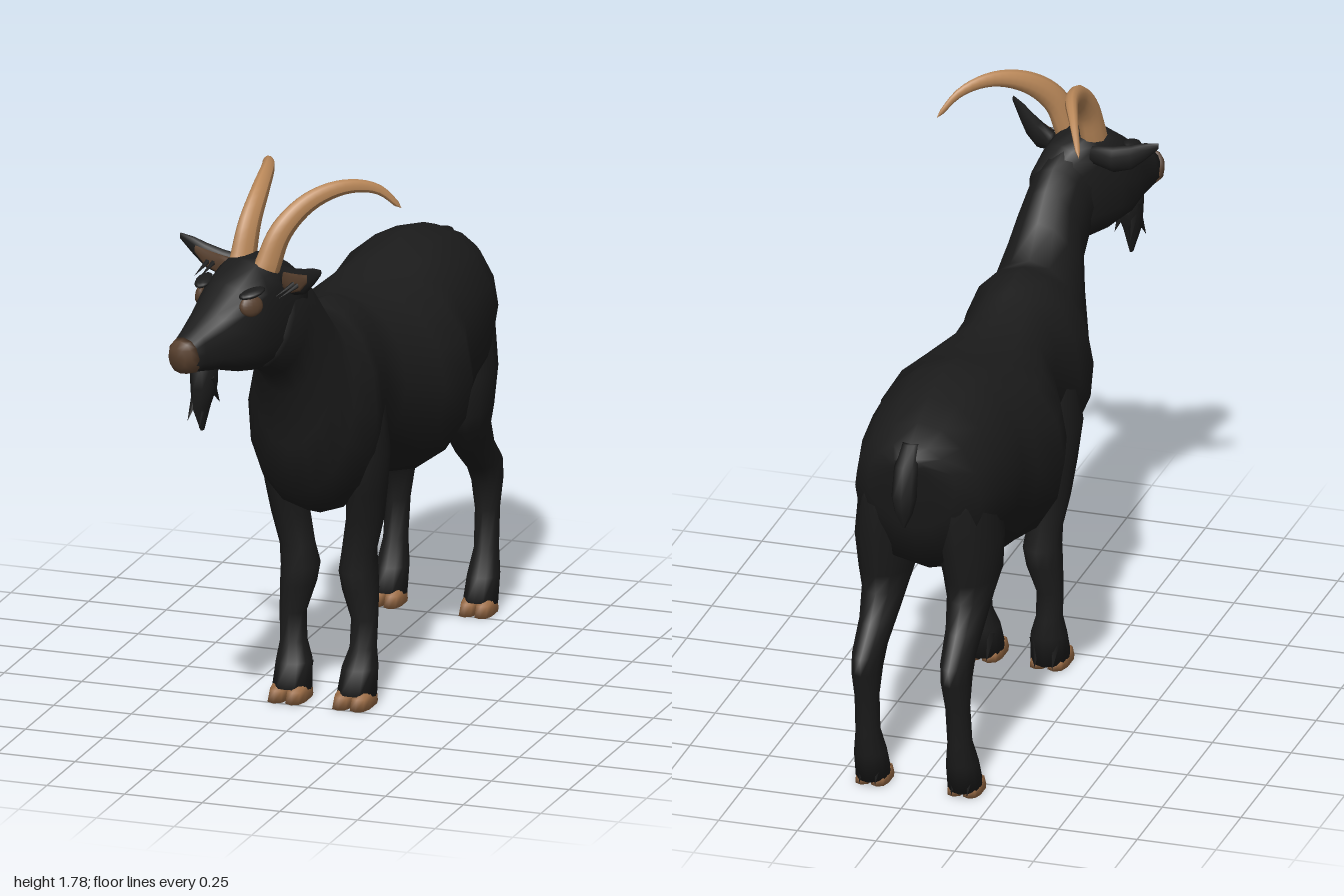
import * as THREE from 'three';

const mat = (name, color) => Object.assign(new THREE.MeshStandardMaterial({ color }), { name });
const coat = mat('black coat', 0x1c1c1c);
const hornTan = mat('horn tan', 0xbb895a);
const hoofTan = mat('hoof tan', 0x9c6d46);
const brown = mat('dark brown', 0x573f2d);

function add(parent, name, geometry, material) {
  const mesh = new THREE.Mesh(geometry, material);
  mesh.name = name;
  parent.add(mesh);
  return mesh;
}

// Skin over oval sections [zA, yA, zB, yB, xCentre, halfWidth]; A and B are opposite ends of each oval.
function loft(sections, sides = 14, power = 1) {
  const pos = [], index = [];
  const bend = v => Math.sign(v) * Math.abs(v) ** power;
  for (const [za, ya, zb, yb, x, w] of sections) {
    for (let j = 0; j < sides; j++) {
      const t = (j / sides) * Math.PI * 2, c = bend(Math.cos(t)) / 2;
      pos.push(x + w * bend(Math.sin(t)), (ya + yb) / 2 + c * (ya - yb), (za + zb) / 2 + c * (za - zb));
    }
  }
  const last = sections.length - 1, n = sections.length * sides;
  for (const s of [sections[0], sections[last]]) pos.push(s[4], (s[1] + s[3]) / 2, (s[0] + s[2]) / 2);
  for (let j = 0; j < sides; j++) {
    const k = (j + 1) % sides;
    for (let i = 0; i < last; i++) {
      const a = i * sides, b = a + sides;
      index.push(a + j, b + j, a + k, a + k, b + j, b + k);
    }
    index.push(n, j, k, n + 1, last * sides + k, last * sides + j);
  }
  const g = new THREE.BufferGeometry();
  g.setAttribute('position', new THREE.Float32BufferAttribute(pos, 3));
  g.setIndex(index);
  g.computeVertexNormals();
  return g;
}

// Pointed tuft of hair from a to b
function tuft(parent, name, a, b, r) {
  const from = new THREE.Vector3(...a), to = new THREE.Vector3(...b), dir = to.clone().sub(from);
  const mesh = add(parent, name, new THREE.ConeGeometry(r, dir.length(), 5), coat);
  mesh.position.copy(from).lerp(to, 0.5);
  mesh.quaternion.setFromUnitVectors(new THREE.Vector3(0, 1, 0), dir.normalize());
}

// Curved horn, narrow sideways and thinning towards its tip
function horn(parent, path) {
  const curve = new THREE.CatmullRomCurve3(path.map(p => new THREE.Vector3(...p)));
  const rings = 24, sides = 10;
  const g = new THREE.TubeGeometry(curve, rings, 0.05, sides);
  const p = g.attributes.position, v = new THREE.Vector3();
  for (let i = 0; i < p.count; i++) {
    const u = Math.floor(i / (sides + 1)) / rings, c = curve.getPointAt(u);
    v.fromBufferAttribute(p, i).sub(c).multiplyScalar(u === 1 ? 0 : 1 - 0.85 * u ** 1.1);
    v.x *= 0.7;
    v.add(c);
    p.setXYZ(i, v.x, v.y, v.z);
  }
  g.computeVertexNormals();
  add(parent, 'horn', g, hornTan);
}
const leftHorn = [[.055, 1.53, .05], [.075, 1.64, .005], [.11, 1.72, -.085], [.16, 1.752, -.19], [.205, 1.73, -.29], [.24, 1.66, -.36]];
const rightHorn = [[-.042, 1.53, .05], [-.05, 1.64, .008], [-.076, 1.72, -.07], [-.136, 1.755, -.175], [-.213, 1.735, -.26], [-.282, 1.66, -.322]];

function ear(parent, s) {
  const g = new THREE.Group();
  g.name = 'ear';
  g.position.set(s * 0.075, 0, 0);
  g.rotation.y = s * 1.28;
  parent.add(g);
  const shape = [[0, 1.53, 1.475, .022], [.07, 1.54, 1.455, .024], [.13, 1.555, 1.475, .018], [.17, 1.568, 1.51, .012], [.215, 1.575, 1.555, .004]];
  add(g, 'earShell', loft(shape.map(([z, t, b, w]) => [z, t, z, b, 0, w]), 10), coat);
  const inner = [[.04, 1.525, 1.472], [.08, 1.53, 1.468], [.125, 1.538, 1.485], [.16, 1.545, 1.52]];
  add(g, 'innerEar', loft(inner.map(([z, t, b], i) => [z, t, z, b, -s * (.021 - i * .003), .006]), 8), brown);
  for (const z of [.095, .115])
    tuft(g, 'earHair', [-s * .01, 1.505, z], [-s * .095, 1.475, z + .012], .009);
}

function buildHead() {
  const head = new THREE.Group();
  head.name = 'head';
  head.position.set(-0.03, 0, 0.62);
  head.rotation.y = -0.37;
  add(head, 'skull', loft([
    [-.13, 1.47, -.1, 1.28, .01, .065], [-.06, 1.53, -.04, 1.22, 0, .09], [.02, 1.565, .02, 1.21, 0, .104],
    [.1, 1.56, .1, 1.21, 0, .115], [.18, 1.5, .18, 1.225, 0, .11], [.26, 1.435, .26, 1.25, 0, .081],
    [.33, 1.392, .33, 1.26, 0, .057], [.37, 1.368, .365, 1.266, 0, .047]], 16, 0.75), coat);
  add(head, 'nose', loft([[.368, 1.374, .342, 1.258, 0, .051], [.385, 1.366, .382, 1.263, 0, .047], [.402, 1.345, .398, 1.285, 0, .034]], 12, 0.8), brown);
  // Beard
  add(head, 'beard', loft([
    [.33, 1.29, .22, 1.27, 0, .035], [.325, 1.2, .225, 1.2, 0, .034], [.325, 1.14, .25, 1.14, 0, .022], [.29, 1.06, .275, 1.06, 0, .004]], 8), coat);
  for (const [x, z, y] of [[.01, .31, 1.07], [-.02, .25, 1.11], [.02, .225, 1.14], [-.01, .34, 1.1]])
    tuft(head, 'beardTuft', [x * .7, 1.23, .275], [x, y, z], .025);
  horn(head, leftHorn);
  horn(head, rightHorn);
  for (const s of [1, -1]) {
    ear(head, s);
    const eye = add(head, 'eye', new THREE.SphereGeometry(1, 14, 10), brown);
    eye.scale.set(.016, .033, .039);
    eye.position.set(s * .1, 1.448, .172);
    eye.rotation.set(0, -s * .4, s * .2);
    const brow = add(head, 'brow', new THREE.SphereGeometry(1, 12, 8), coat);
    brow.scale.set(.026, .012, .045);
    brow.position.set(s * .097, 1.487, .165);
    brow.rotation.set(.25, -s * .35, 0);
  }
  return head;
}

// Leg rows: [y, zFront, zBack, x, halfWidth, drop of the back edge]
const frontRows = [
  [1.08, .24, .08, .09, .05], [.95, .26, .05, .12, .062], [.8, .27, .05, .135, .066], [.68, .235, .055, .13, .06],
  [.58, .2, .065, .12, .058], [.48, .18, .075, .1, .055], [.41, .185, .05, .093, .06], [.35, .18, .055, .1, .056],
  [.26, .165, .083, .115, .042], [.17, .17, .085, .112, .042], [.11, .2, .08, .106, .056], [.04, .236, .09, .104, .06, .025]];
const hindRows = [
  [1.1, -.66, -.88, .1, .075], [.95, -.58, -.885, .12, .088], [.8, -.56, -.865, .13, .098], [.68, -.57, -.835, .135, .085],
  [.62, -.62, -.83, .135, .07], [.54, -.68, -.885, .137, .056], [.46, -.775, -.968, .14, .048], [.4, -.825, -.96, .142, .046],
  [.31, -.845, -.93, .144, .038], [.19, -.83, -.915, .146, .038], [.11, -.79, -.905, .146, .05], [.04, -.758, -.88, .146, .053, .025]];

function leg(parent, name, rows, s) {
  const g = new THREE.Group();
  g.name = name;
  parent.add(g);
  add(g, 'limb', loft(rows.map(([y, a, b, x, w, drop = 0]) => [a, y, b, y - drop, s * x, w]), 12), coat);
  // Cloven hoof: two toes
  const [, a, b, x, w] = rows[rows.length - 1];
  for (const t of [-1, 1]) {
    const tx = s * x + t * w * .47;
    add(g, 'hoof', loft([[a - .02, .048, b + .025, .035, tx, w * .42], [a + .004, .034, b + .015, .02, tx, w * .5],
      [a + .02, 0, b + .012, 0, tx, w * .54]], 10, .75), hoofTan);
    tuft(g, 'fetlockTuft', [tx, .1, b + .025], [tx, .01, b], .022);
  }
}

export function createModel() {
  const goat = new THREE.Group();
  goat.name = 'goat';
  // Trunk and neck
  add(goat, 'body', loft([
    [-.945, 1.14, -.925, 1.05, 0, .06], [-.91, 1.175, -.885, .88, 0, .14], [-.83, 1.21, -.83, .74, 0, .2],
    [-.72, 1.25, -.72, .68, 0, .23], [-.55, 1.275, -.57, .655, 0, .25], [-.42, 1.252, -.45, .58, 0, .258],
    [-.32, 1.23, -.32, .575, 0, .303], [-.18, 1.215, -.18, .62, 0, .265], [-.04, 1.22, -.04, .705, 0, .19],
    [.06, 1.26, .06, .7, 0, .168], [.16, 1.28, .2, .605, 0, .195], [.22, 1.275, .32, .65, 0, .207],
    [.28, 1.27, .43, .73, 0, .165], [.36, 1.36, .49, .9, 0, .13], [.43, 1.435, .53, 1.08, -.002, .106],
    [.49, 1.485, .62, 1.17, -.008, .1], [.56, 1.525, .7, 1.21, -.025, .1], [.62, 1.55, .74, 1.23, -.045, .09]], 16), coat);
  // Tail
  add(goat, 'tail', loft([
    [-.88, 1.17, -.93, 1.175, 0, .025], [-.92, 1.1, -.98, 1.12, 0, .038], [-.94, 1.02, -1, 1.02, 0, .04],
    [-.955, .97, -.993, .97, 0, .028], [-.965, .92, -.975, .92, 0, .004]], 8), coat);
  for (const s of [1, -1]) {
    leg(goat, 'frontLeg', frontRows, s);
    leg(goat, 'hindLeg', hindRows, s);
  }
  goat.add(buildHead());
  return goat;
}
